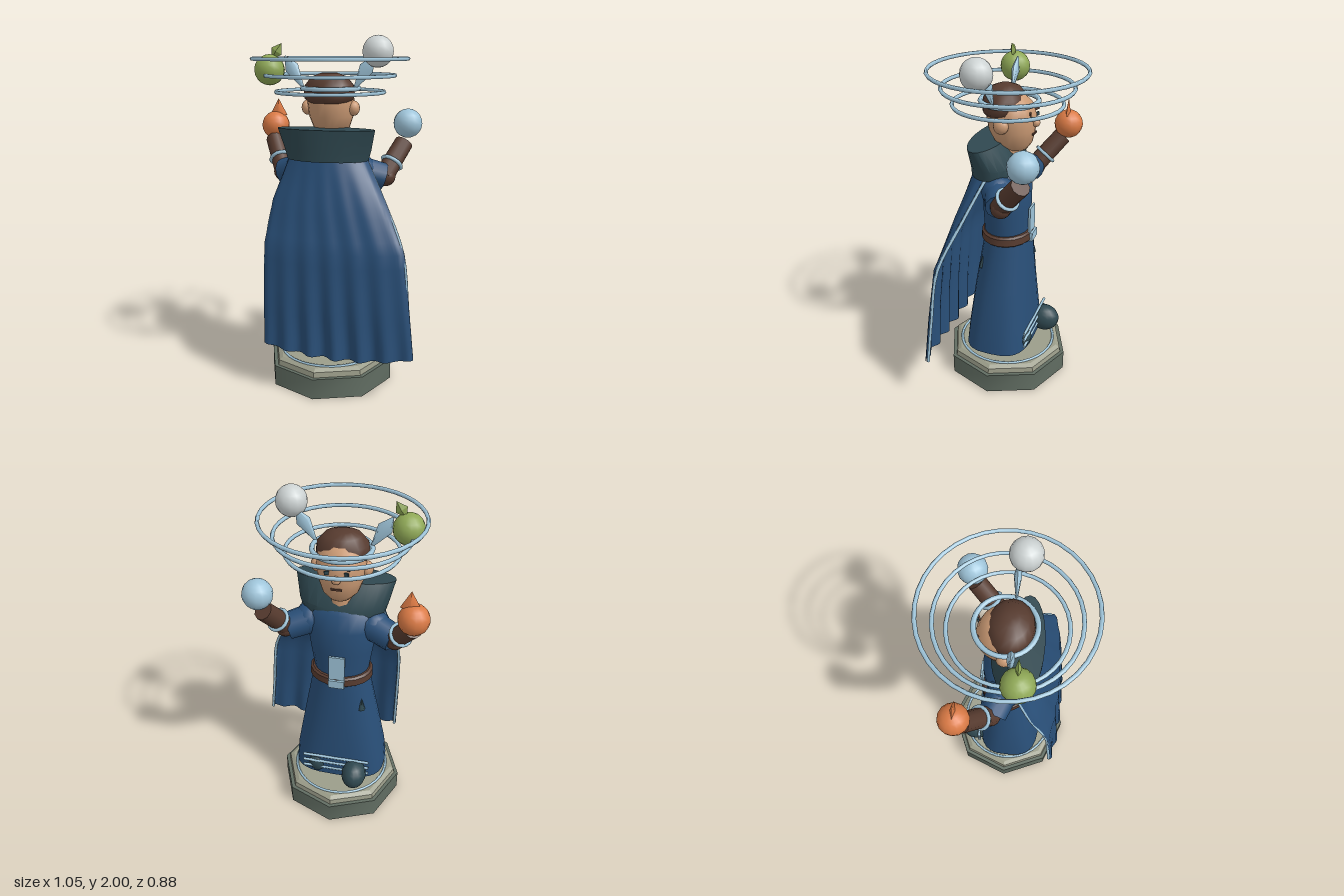
import * as THREE from 'three';
import { toCreasedNormals } from 'three/addons/utils/BufferGeometryUtils.js';

const mat = (name, color, side = THREE.FrontSide) => {
  const m = new THREE.MeshStandardMaterial({ color, side });
  m.name = name;
  return m;
};

export function createModel() {
  const blue = mat('blue cloth', 0x294f78, THREE.DoubleSide);
  const teal = mat('dark teal', 0x2f4850);
  const brown = mat('brown leather', 0x573b2f);
  const skin = mat('skin', 0xcb9a74);
  const ice = mat('pale blue', 0x9fc5da);
  const white = mat('pale grey', 0xccd2d2);
  const green = mat('green', 0x8fa856);
  const orange = mat('orange', 0xda7a45);
  const stone = mat('dark stone', 0x616d62);
  const stoneTop = mat('light stone', 0x9b9d8a);

  const model = new THREE.Group();
  const figure = new THREE.Group();
  figure.name = 'figure';
  figure.position.x = -0.03;
  model.add(figure);

  const V = (x, y, z) => new THREE.Vector3(x, y, z);
  const add = (name, geo, material, x = 0, y = 0, z = 0) => {
    const m = new THREE.Mesh(geo, material);
    m.name = name;
    m.position.set(x, y, z);
    figure.add(m);
    return m;
  };
  // stack of ellipses, rows from top to bottom: [y, rx, rz, zCentre, roundness (under 1 is boxier)]
  const loft = (rows, sides = 20, crease = 0.8) => {
    const n = rows.length - 1;
    const g = new THREE.CylinderGeometry(1, 1, 1, sides, n);
    const p = g.attributes.position;
    const bend = (a, k) => Math.sign(a) * Math.abs(a) ** k;
    for (let i = 0; i < p.count; i++) {
      const [y, rx, rz, zc = 0, k = 1] = rows[Math.round((0.5 - p.getY(i)) * n)];
      p.setXYZ(i, bend(p.getX(i), k) * rx, y, bend(p.getZ(i), k) * rz + zc);
    }
    g.computeVertexNormals();
    return toCreasedNormals(g, crease);
  };
  // tapered limb between two points
  const limb = (name, a, b, ra, rb, material, sides = 10) => {
    const d = b.clone().sub(a);
    const m = add(name, new THREE.CylinderGeometry(rb, ra, d.length(), sides), material);
    m.position.copy(a).addScaledVector(d, 0.5);
    m.quaternion.setFromUnitVectors(V(0, 1, 0), d.normalize());
  };
  const ball = (name, r, material, x, y, z) =>
    add(name, new THREE.SphereGeometry(r, 14, 10), material, x, y, z);
  const ring = (name, r, tube, y, z = 0) => {
    const m = add(name, new THREE.TorusGeometry(r, tube, 6, 36), ice, 0, y, z);
    m.rotation.x = Math.PI / 2;
  };

  // base
  add('baseBlock', loft([[0.12, 0.373, 0.373], [0, 0.373, 0.373]], 8, 0.9), stone);
  add('baseTop', loft([[0.165, 0.32, 0.32], [0.15, 0.345, 0.345], [0.12, 0.35, 0.35]], 8, 0.3), stoneTop);
  ring('baseRing', 0.288, 0.008, 0.167);

  // robe, torso and belt
  add('robeSkirt', loft([[0.95, 0.16, 0.135, -0.01], [0.6, 0.225, 0.17, 0.007, 0.85], [0.35, 0.268, 0.19, 0.014, 0.72],
    [0.21, 0.28, 0.198, 0.017, 0.65]], 28, 1), blue);
  add('torso', loft([[1.4, 0.08, 0.08, 0.01], [1.35, 0.18, 0.115, 0.01], [1.25, 0.2, 0.135], [1.1, 0.18, 0.135],
    [0.93, 0.155, 0.13]], 20, 1.2), blue);
  add('belt', loft([[0.96, 0.168, 0.14, -0.005], [0.95, 0.182, 0.15, -0.005], [0.91, 0.185, 0.153, -0.005],
    [0.9, 0.172, 0.143, -0.005]], 20, 0.5), brown);
  add('chestPlaque', new THREE.BoxGeometry(0.09, 0.17, 0.012), ice, 0, 1.02, -0.146);
  add('beltBuckle', new THREE.BoxGeometry(0.09, 0.05, 0.02), ice, 0, 0.925, -0.156);
  add('robeGem', new THREE.ConeGeometry(0.022, 0.08, 6), teal, -0.142, 0.765, -0.113);
  add('robeGem', new THREE.ConeGeometry(0.022, 0.08, 6), teal, 0.143, 0.77, 0.106);
  for (const y of [0.35, 0.305, 0.26]) {
    const bar = add('hemBar', new THREE.CylinderGeometry(0.009, 0.009, 0.41, 6), ice, 0, y, -0.178);
    bar.rotation.z = Math.PI / 2;
  }

  // boots, one stepping forward: rounded toe and flat sole
  for (const [x, z] of [[-0.12, -0.205], [0.12, -0.1]]) {
    ball('bootToe', 0.085, teal, x, 0.27, z).scale.set(0.88, 1, 1.12);
    ball('bootSole', 0.06, teal, x, 0.22, z + 0.11).scale.set(1.05, 0.8, 2);
  }

  // cape with folds: rows of [y, left x, right x, edge z, back z, fold depth]
  const capeRows = [[1.35, -0.22, 0.22, 0.05, 0.17, 0], [1.1, -0.295, 0.365, 0.155, 0.245, 0.003],
    [0.86, -0.317, 0.483, 0.25, 0.307, 0.005], [0.55, -0.315, 0.523, 0.283, 0.33, 0.011],
    [0.28, -0.31, 0.555, 0.303, 0.34, 0.022]];
  const cols = 48;
  const capePoint = (u, v) => {
    const t = v * (capeRows.length - 1), i = Math.min(Math.floor(t), capeRows.length - 2);
    const [y, l, r, ze, zb, f] = capeRows[i].map((a, k) => THREE.MathUtils.lerp(a, capeRows[i + 1][k], t - i));
    const bow = Math.sqrt(Math.max(0, Math.sin(Math.PI * u)));
    return V(l + (r - l) * u, y - 0.035 * bow * bow * v, ze + (zb - ze) * bow + f * bow * Math.cos(u * Math.PI * 12));
  };
  const capeGeo = new THREE.PlaneGeometry(1, 1, cols, 16);
  const cp = capeGeo.attributes.position;
  for (let i = 0; i < cp.count; i++) {
    const q = capePoint(cp.getX(i) + 0.5, 0.5 - cp.getY(i));
    cp.setXYZ(i, q.x, q.y, q.z);
  }
  capeGeo.computeVertexNormals();
  add('cape', capeGeo, blue);
  // trim along the inner side of both cape edges
  for (const u of [0, 1]) {
    const inward = V(u ? -0.01 : 0.01, 0, -0.009);
    const path = new THREE.CatmullRomCurve3([0, 0.25, 0.5, 0.75, 1].map((v) => capePoint(u, v).add(inward)));
    add('capeTrim', new THREE.TubeGeometry(path, 16, 0.009, 6), ice);
  }

  // tall flared collar, its front leaning back behind the chin
  add('collar', loft([[1.5, 0.28, 0.095, 0.095], [1.38, 0.25, 0.14, 0.05], [1.325, 0.235, 0.14, 0.05]], 24, 0.7), teal);

  // head, hair and face
  add('neck', new THREE.CylinderGeometry(0.07, 0.08, 0.14, 12), skin, 0, 1.43, 0);
  add('head', loft([[1.75, 0.08, 0.08, -0.01], [1.7, 0.123, 0.127, -0.012], [1.64, 0.134, 0.138, -0.02],
    [1.56, 0.125, 0.13, -0.025], [1.49, 0.1, 0.105, -0.035], [1.45, 0.06, 0.06, -0.05]], 20, 1.3), skin);
  add('hair', loft([[1.8, 0.045, 0.04, 0.016], [1.78, 0.1, 0.085, 0.016], [1.735, 0.138, 0.114, 0.016],
    [1.69, 0.145, 0.12, 0.016], [1.66, 0.14, 0.117, 0.018], [1.637, 0.11, 0.1, 0.02]], 16, 1), brown);
  ball('nose', 0.024, skin, 0, 1.605, -0.16);
  add('mouth', new THREE.BoxGeometry(0.06, 0.01, 0.009), brown, 0, 1.545, -0.153);
  for (const s of [-1, 1]) {
    ball('ear', 0.042, skin, s * 0.135, 1.607, -0.008).scale.x = 0.8;
    const eye = add('eye', new THREE.BoxGeometry(0.03, 0.02, 0.009), teal, s * 0.05, 1.638, -0.15);
    const brow = add('brow', new THREE.BoxGeometry(0.045, 0.012, 0.009), brown, s * 0.05, 1.666, -0.144);
    eye.rotation.y = brow.rotation.y = s * 0.38;
  }

  // circlet, side crystals and floating rings
  ring('circlet', 0.158, 0.014, 1.715, -0.01);
  for (const s of [-1, 1]) {
    const crystal = add('crystal', loft([[0.105, 0.004, 0.004], [0.03, 0.042, 0.02], [-0.105, 0.004, 0.004]], 8, 0.9),
      ice, s * 0.198, 1.8, 0.03);
    crystal.rotation.z = -s * 0.55;
  }
  for (const [r, y] of [[0.43, 1.876], [0.36, 1.786], [0.302, 1.696]]) ring('haloRing', r, 0.011, y);

  // arms raised forward, with puffed sleeves, bracers and cuffs
  for (const s of [-1, 1]) {
    const shoulder = V(s * 0.15, 1.265, 0), elbow = V(s * 0.3, 1.22, -0.06);
    const hand = V(s * (s > 0 ? 0.388 : 0.412), 1.4, -0.205);
    ball('shoulder', 0.092, blue, s * 0.18, 1.255, -0.005);
    limb('sleeve', shoulder, elbow, 0.085, 0.078, blue, 12);
    ball('elbow', 0.057, brown, elbow.x + s * 0.01, elbow.y, elbow.z - 0.01);
    limb('bracer', elbow, hand, 0.057, 0.054, brown);
    const cuff = add('cuff', new THREE.TorusGeometry(0.06, 0.011, 6, 16), ice);
    cuff.position.lerpVectors(elbow, hand, 0.4);
    cuff.quaternion.setFromUnitVectors(V(0, 0, 1), hand.clone().sub(elbow).normalize());
  }

  // four orbs with flame and leaf
  ball('blueOrb', 0.084, ice, 0.405, 1.51, -0.222);
  ball('whiteOrb', 0.085, white, 0.283, 1.915, 0.065);
  ball('orangeOrb', 0.084, orange, -0.415, 1.475, -0.237);
  ball('greenOrb', 0.085, green, -0.33, 1.815, 0.072);
  const flame = add('flame', new THREE.ConeGeometry(0.055, 0.1, 4), orange, -0.395, 1.587, -0.237);
  flame.scale.z = 0.3;
  const leaf = add('leaf', new THREE.OctahedronGeometry(1), green, -0.287, 1.916, 0.07);
  leaf.scale.set(0.035, 0.052, 0.016);
  leaf.rotation.z = -0.6;
  return model;
}
